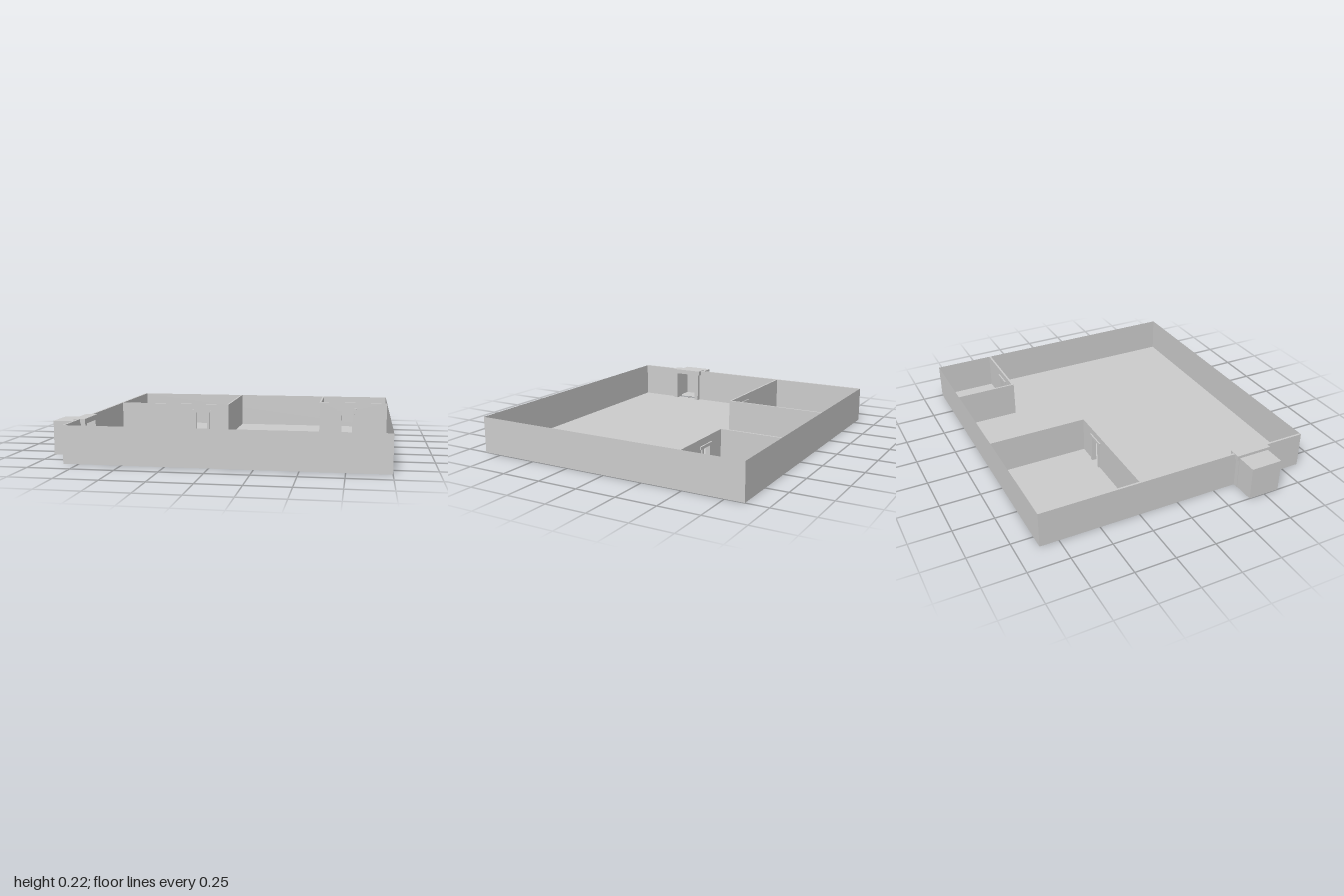
import * as THREE from 'three';

const H = 0.222; // wall height
const X0 = -0.84, X1 = 1, Z = 0.865; // floor plan limits
const mat = new THREE.MeshStandardMaterial({ color: 0xcccccc, side: THREE.DoubleSide });

function add(parent, name, geometry) {
  const mesh = new THREE.Mesh(geometry, mat);
  mesh.name = name;
  parent.add(mesh);
  return mesh;
}

// Box given by its lower and upper corners
function box(parent, name, [x0, y0, z0], [x1, y1, z1]) {
  const mesh = add(parent, name, new THREE.BoxGeometry(x1 - x0, y1 - y0, z1 - z0));
  mesh.position.set((x0 + x1) / 2, (y0 + y1) / 2, (z0 + z1) / 2);
  return mesh;
}

// Wall along its local x from a to b, with a doorway from d0 to d1 cut up from the floor
function doorWall(parent, name, a, b, d0, d1, doorHeight, thickness) {
  const outline = [[a, 0], [d0, 0], [d0, doorHeight], [d1, doorHeight], [d1, 0], [b, 0], [b, H], [a, H]];
  const shape = new THREE.Shape(outline.map(([x, y]) => new THREE.Vector2(x, y)));
  return add(parent, name, new THREE.ExtrudeGeometry(shape, { depth: thickness, bevelEnabled: false }));
}

// Room in a back corner: side wall, front wall with doorway, and door frame
function room(parent, name, { x0, x1, side, z, door }) {
  const g = new THREE.Group();
  g.name = name;
  box(g, 'roomSideWall', [side, 0, -Z], [side + 0.012, H, z]);
  const wall = doorWall(g, 'roomFrontWall', x0, x1, door - 0.04, door + 0.04, 0.165, 0.012);
  wall.position.z = z - 0.012;
  const zb = z - 0.02, zf = z + 0.008;
  for (const s of [-1, 1]) {
    const c = door + s * 0.045;
    box(g, 'doorJamb', [c - 0.008, 0, zb], [c + 0.008, 0.165, zf]);
  }
  box(g, 'doorLintel', [door - 0.066, 0.165, zb], [door + 0.066, 0.182, zf]);
  parent.add(g);
}

export function createModel() {
  const model = new THREE.Group();
  model.name = 'floorPlan';

  // Floor and the three thin outer walls
  const floor = add(model, 'floor', new THREE.PlaneGeometry(X1 - X0, 2 * Z).rotateX(-Math.PI / 2));
  floor.position.x = (X0 + X1) / 2;
  for (const s of [-1, 1]) {
    const wall = add(model, s > 0 ? 'frontWall' : 'backWall', new THREE.PlaneGeometry(X1 - X0, H));
    wall.position.set((X0 + X1) / 2, H / 2, s * Z);
    if (s < 0) wall.rotation.y = Math.PI;
  }
  const sideWall = add(model, 'sideWall', new THREE.PlaneGeometry(2 * Z, H).rotateY(Math.PI / 2));
  sideWall.position.set(X1, H / 2, 0);

  // Thick entrance wall, with its doorway
  const entranceWall = doorWall(model, 'entranceWall', -Z, Z, 0.42, 0.576, 0.192, 0.013);
  entranceWall.rotation.y = -Math.PI / 2;
  entranceWall.position.x = X0 + 0.013;

  // Entrance frame
  const frame = new THREE.Group();
  frame.name = 'entranceFrame';
  box(frame, 'entranceLintel', [-0.87, 0.192, 0.383], [-0.798, H + 0.001, 0.612]);
  for (const z of [0.394, 0.574]) box(frame, 'entranceJamb', [-0.87, 0, z], [-0.798, 0.192, z + 0.028]);
  model.add(frame);

  // Porch: a closed passage, open only towards the doorway
  const shell = new THREE.BoxGeometry(0.13, 0.206, 0.2);
  shell.setIndex(Array.from(shell.index.array).slice(6)); // leave out the +x face
  add(model, 'porch', shell).position.set(-0.935, 0.103, 0.498);

  // Rooms in the back corners
  room(model, 'largeRoom', { x0: -0.828, x1: -0.076, side: -0.088, z: -0.237, door: -0.264 });
  room(model, 'smallRoom', { x0: 0.533, x1: X1, side: 0.533, z: -0.482, door: 0.726 });
  return model;
}
